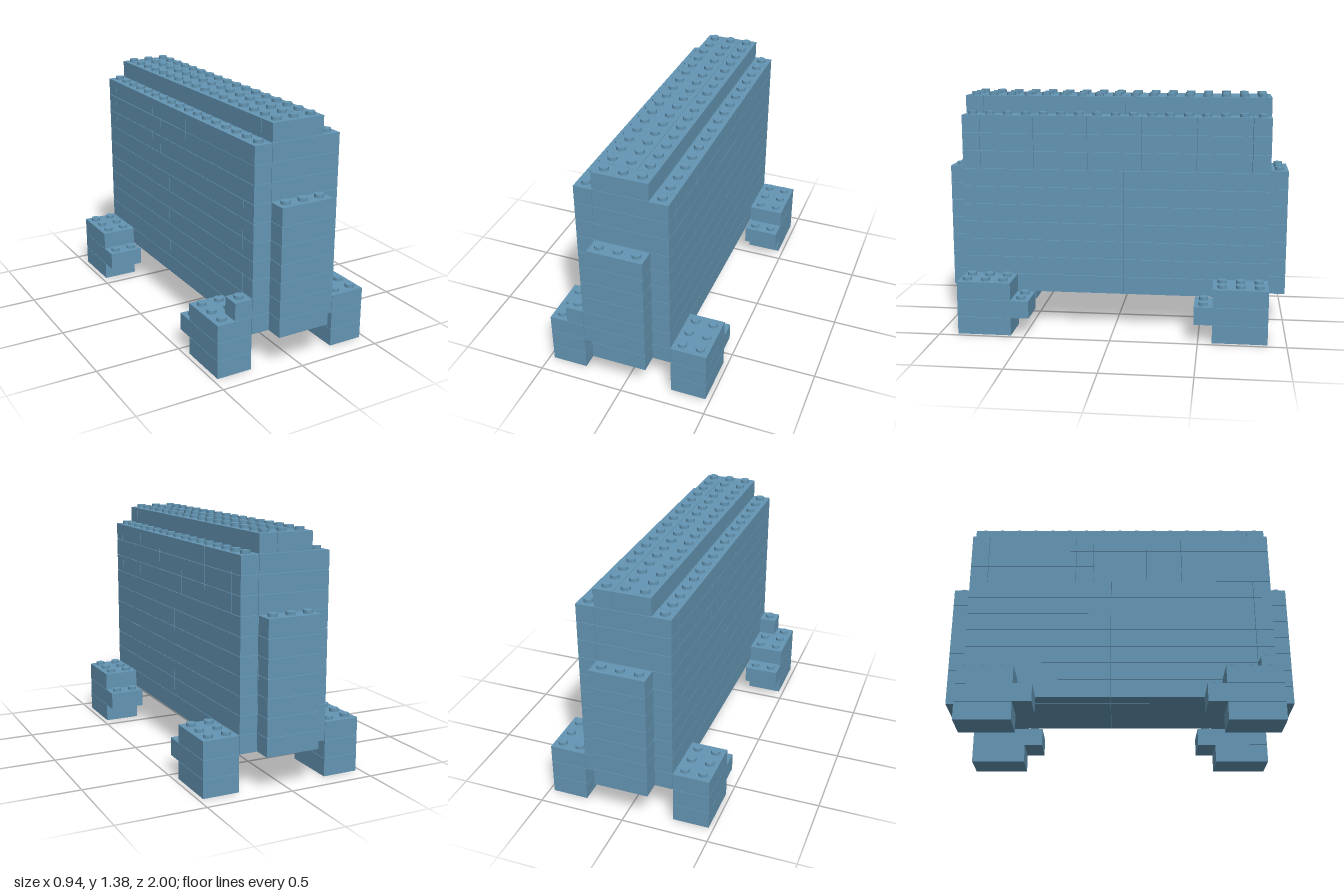
import * as THREE from 'three';

const U = 2 / 19;      // stud pitch
const H = 0.105;       // layer height
const GAP = 0.0012;    // seam inset per brick side

export function createModel() {
  const model = new THREE.Group();
  model.name = 'brickWall';
  const blue = new THREE.MeshStandardMaterial({ color: 0x6496b4 });
  blue.name = 'steel blue';
  const studGeometry = new THREE.CylinderGeometry(0.026, 0.026, 0.02, 20);

  const group = (name) => {
    const g = new THREE.Group();
    g.name = name;
    model.add(g);
    return g;
  };

  // One brick; x and z limits in studs, layer counted from the ground
  const brick = (parent, name, x0, x1, z0, z1, layer) => {
    const mesh = new THREE.Mesh(
      new THREE.BoxGeometry((x1 - x0) * U - 2 * GAP, H - 2 * GAP, (z1 - z0) * U - 2 * GAP), blue);
    mesh.position.set((x0 + x1) / 2 * U, (layer + 0.5) * H, (z0 + z1) / 2 * U);
    mesh.name = name;
    parent.add(mesh);
  };

  // Studs filling a rectangle on top of a layer
  const studs = (parent, x0, x1, z0, z1, layer) => {
    for (let x = x0 + 0.5; x < x1; x++) {
      for (let z = z0 + 0.5; z < z1; z++) {
        const stud = new THREE.Mesh(studGeometry, blue);
        stud.position.set(x * U, (layer + 1) * H + 0.008, z * U);
        stud.name = 'stud';
        parent.add(stud);
      }
    }
  };

  // A row of bricks along z, split at the given cuts
  const row = (parent, name, x0, x1, cuts, layer) => {
    for (let i = 0; i + 1 < cuts.length; i++) {
      brick(parent, name, x0, x1, cuts[i], cuts[i + 1], layer);
    }
  };

  // Tall body: side walls, core and end bricks, with a different bond above layer 9
  const body = group('body');
  for (let layer = 2; layer < 12; layer++) {
    const upper = layer >= 9;
    row(body, 'core', -1.5, 1.5, [-7.5, -0.5, 7.5], layer);
    if (upper) {
      row(body, 'leftWall', 1.5, 2.5, [-8.5, -7.5, -4.5, -1.5, 1.5, 4.5, 7.5], layer);
      row(body, 'rightWall', -2.5, -1.5, [-7.5, -2.5, -1.5, 1.5, 3.5, 8.5], layer);
      brick(body, 'frontEnd', -1.5, 2.5, 7.5, 8.5, layer);
      brick(body, 'backEnd', -2.5, 1.5, -8.5, -7.5, layer);
    } else {
      row(body, 'leftWall', 1.5, 2.5, [-8.5, -0.5, 8.5], layer);
      row(body, 'rightWall', -2.5, -1.5, [-8.5, -0.5, 7.5], layer);
      brick(body, 'frontEnd', -2.5, 1.5, 7.5, 8.5, layer);
      brick(body, 'backEnd', -1.5, 1.5, -8.5, -7.5, layer);
    }
  }
  studs(body, -2.5, -1.5, -8.5, 8.5, 11);
  studs(body, 1.5, 2.5, -8.5, 8.5, 11);

  // Narrow ridge on top
  const ridge = group('ridge');
  row(ridge, 'ridgeWide', -1.5, 0.5, [-8.5, -0.5, 7.5], 12);
  row(ridge, 'ridgeNarrow', 0.5, 1.5, [-8.5, -0.5, 7.5], 12);
  brick(ridge, 'ridgeFront', -1.5, 1.5, 7.5, 8.5, 12);
  studs(ridge, -1.5, 1.5, -8.5, 8.5, 12);

  // Columns at the front and back ends
  for (const [name, z0] of [['frontColumn', 8.5], ['backColumn', -9.5]]) {
    const column = group(name);
    for (let layer = 2; layer < 9; layer++) {
      brick(column, 'columnBrick', -1.5, 1.5, z0, z0 + 1, layer);
    }
    studs(column, -1.5, 1.5, z0, z0 + 1, 8);
  }

  // Four feet, the middle layer reaching one stud further inward
  for (const sx of [-1, 1]) {
    for (const sz of [-1, 1]) {
      const foot = group((sz > 0 ? 'front' : 'back') + (sx > 0 ? 'Left' : 'Right') + 'Foot');
      const x0 = sx > 0 ? 2.5 : -4.5;
      const span = (inner, outer) => sz > 0 ? [inner, outer] : [-outer, -inner];
      brick(foot, 'footBase', x0, x0 + 2, ...span(5.5, 8.5), 0);
      brick(foot, 'footMiddle', x0, x0 + 2, ...span(4.5, 8.5), 1);
      brick(foot, 'footTop', x0, x0 + 2, ...span(5.5, 8.5), 2);
      studs(foot, x0, x0 + 2, ...span(4.5, 5.5), 1);
      studs(foot, x0, x0 + 2, ...span(5.5, 8.5), 2);
    }
  }

  // Single small brick on the front right foot
  const small = group('smallBrick');
  brick(small, 'smallBrickBody', -3.5, -2.5, 7.5, 8.5, 3);
  studs(small, -3.5, -2.5, 7.5, 8.5, 3);

  return model;
}
